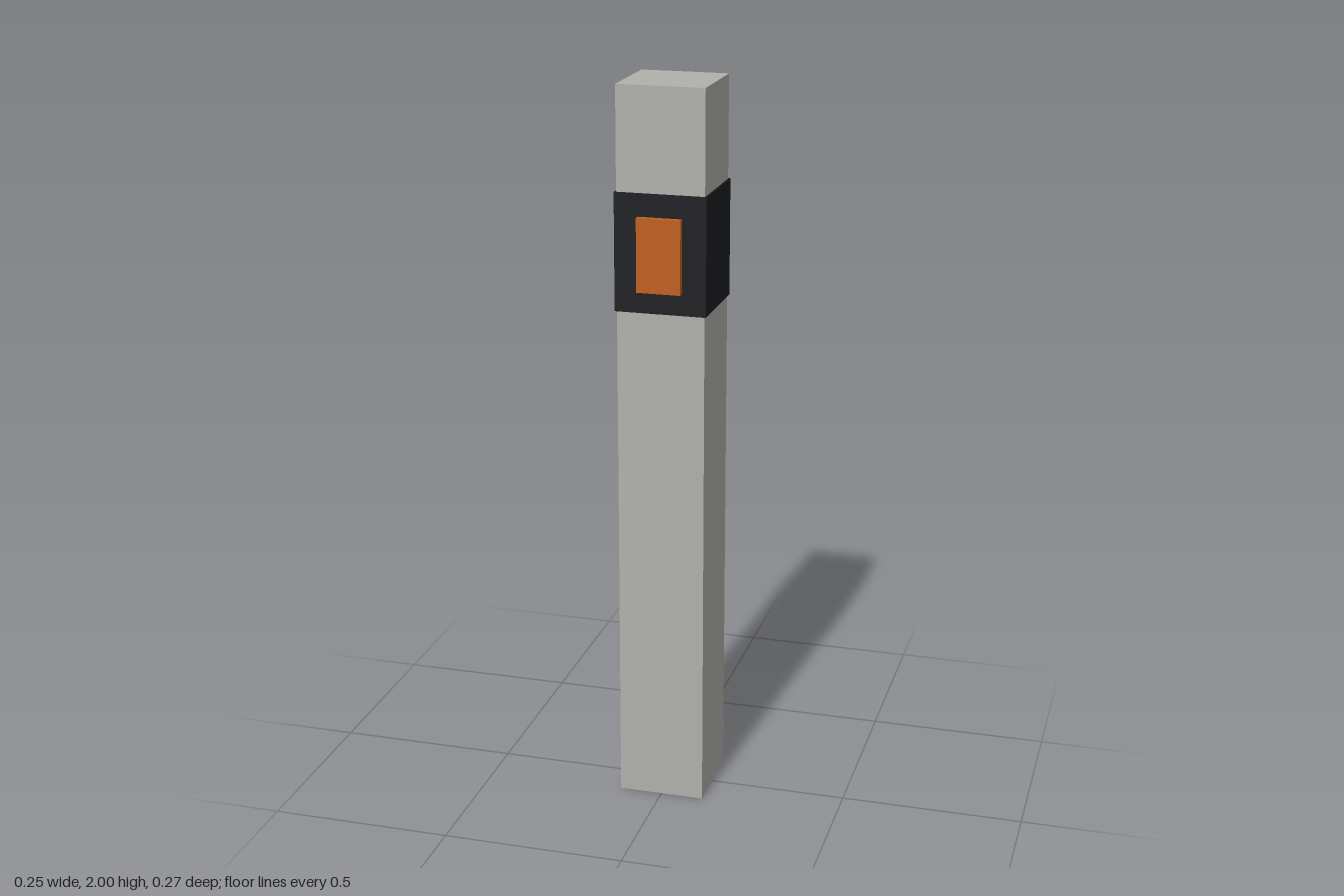
import * as THREE from 'three';

const AXIS_Z = -0.009; // the post sits slightly back to make room for the reflector

function block(name, color, [width, height, depth], [x, y, z]) {
  const mesh = new THREE.Mesh(
    new THREE.BoxGeometry(width, height, depth),
    new THREE.MeshStandardMaterial({ color })
  );
  mesh.name = name;
  mesh.position.set(x, y, z);
  return mesh;
}

export function createModel() {
  const model = new THREE.Group();
  model.name = 'roadsidePost';
  model.add(
    // Square post, full height
    block('post', 0xb0b1ab, [0.238, 2, 0.238], [0, 1, AXIS_Z]),
    // Dark band wrapped around the upper part
    block('band', 0x1c1d21, [0.248, 0.318, 0.248], [0, 1.563, AXIS_Z]),
    // Orange reflector standing proud of the band's front
    block('reflector', 0xbf5f1e, [0.119, 0.198, 0.024], [0, 1.562, 0.121])
  );
  return model;
}
